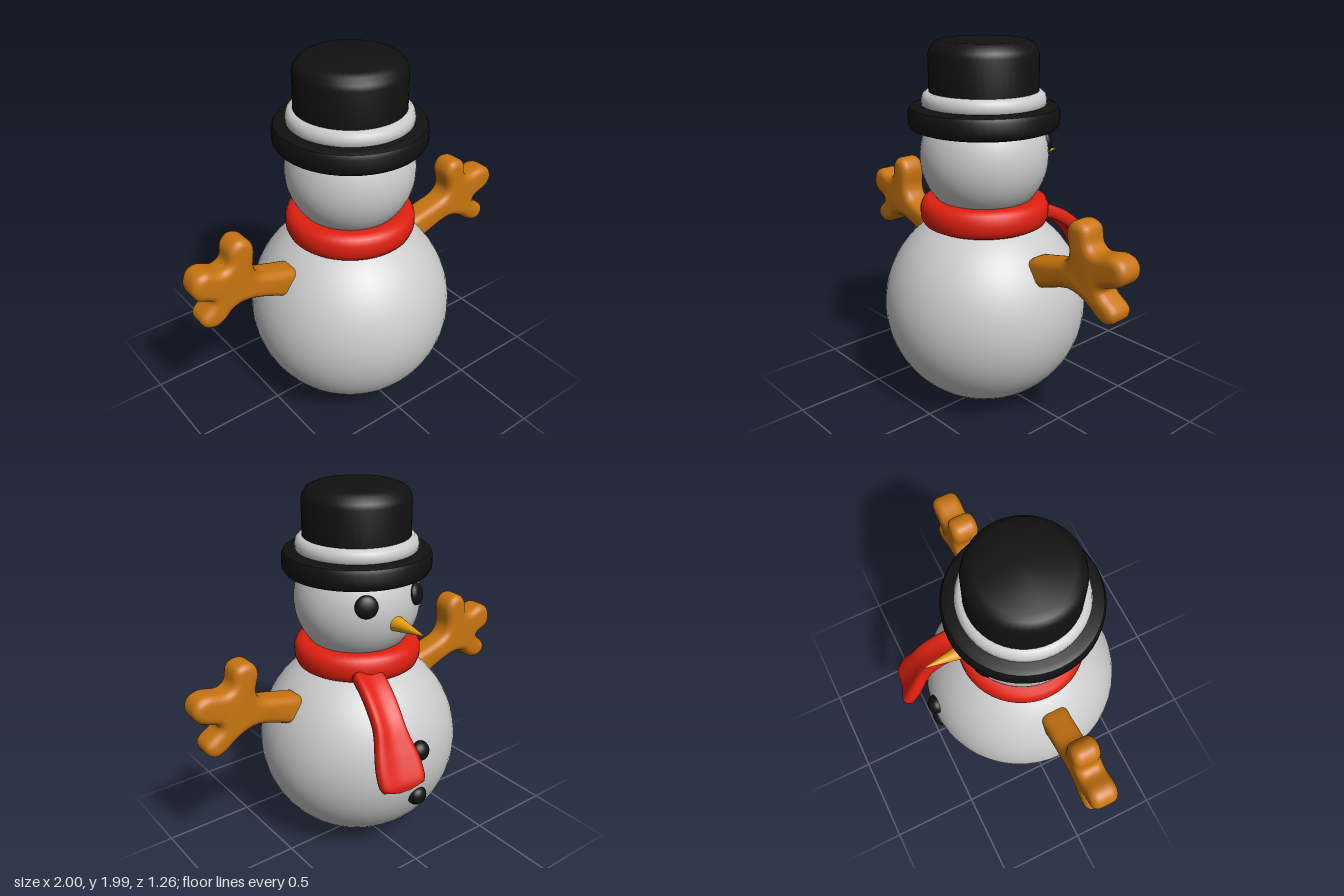
import * as THREE from 'three';
import { toCreasedNormals } from 'three/addons/utils/BufferGeometryUtils.js';

const CX = -0.025, CZ = 0.07; // vertical axis of the figure

const mat = (color) => new THREE.MeshStandardMaterial({ color });
const snow = mat(0xcccccc), black = mat(0x111111), red = mat(0xe02010);
const wood = mat(0xc87510), carrot = mat(0xe8a010);

function add(group, name, geometry, material, x = CX, y = 0, z = CZ) {
  const mesh = new THREE.Mesh(geometry, material);
  mesh.name = name;
  mesh.position.set(x, y, z);
  group.add(mesh);
  return mesh;
}

function lathe(profile, crease) {
  const g = new THREE.LatheGeometry(profile.map(([r, y]) => new THREE.Vector2(r, y)), 48);
  return crease ? toCreasedNormals(g, crease) : g;
}

// Three-fingered arm: smooth outline, extruded with a rounded edge
function armGeometry(outline) {
  const curve = new THREE.CatmullRomCurve3(
    outline.map(([x, y]) => new THREE.Vector3(x, y, 0)), true, 'centripetal');
  const pts = curve.getPoints(90).slice(0, -1).map((p) => new THREE.Vector2(p.x, p.y));
  const bevel = 0.042, thick = 0.152;
  const g = new THREE.ExtrudeGeometry(new THREE.Shape(pts), {
    depth: thick - 2 * bevel, bevelEnabled: true, bevelThickness: bevel,
    bevelSize: bevel, bevelOffset: -bevel, bevelSegments: 5,
  });
  g.translate(0, 0, bevel - thick / 2);
  return toCreasedNormals(g, 0.9);
}

// Scarf tail: a ribbon with puffy edges and a groove, lofted along a curve
function tailGeometry() {
  const path = new THREE.CatmullRomCurve3([
    new THREE.Vector3(0.12, 1.08, -0.19), new THREE.Vector3(0.145, 1.02, -0.31),
    new THREE.Vector3(0.165, 0.92, -0.42), new THREE.Vector3(0.175, 0.77, -0.505),
    new THREE.Vector3(0.18, 0.58, -0.595),
  ]);
  const steps = 28, sides = 32, pos = [], idx = [];
  for (let i = 0; i <= steps; i++) {
    const t = i / steps;
    const c = path.getPointAt(t), T = path.getTangentAt(t);
    const S = new THREE.Vector3(1, 0, 0.3 * t);
    S.addScaledVector(T, -S.dot(T)).normalize();
    const N = T.clone().cross(S);
    // flares toward the end, then closes in a blunt round tip
    const tip = t > 0.86 ? Math.sqrt(Math.max(0, 1 - ((t - 0.86) / 0.14) ** 4)) : 1;
    const w = (0.085 + 0.042 * THREE.MathUtils.smoothstep(t, 0.45, 0.85)) * (0.4 + 0.6 * tip);
    const start = i === 0 ? 0 : 1;
    const h = 0.056 * tip * start;
    for (let j = 0; j < sides; j++) {
      const a = (j / sides) * Math.PI * 2, cs = Math.cos(a);
      const p = c.clone().addScaledVector(S, cs * w * start * (i === steps ? 0.6 : 1))
        .addScaledVector(N, Math.sin(a) * h * (0.4 + 1.0 * cs * cs));
      pos.push(p.x, p.y, p.z);
      if (i < steps) {
        const k = i * sides + j, n = i * sides + (j + 1) % sides;
        idx.push(k, n, k + sides, n, n + sides, k + sides);
      }
    }
  }
  const g = new THREE.BufferGeometry();
  g.setAttribute('position', new THREE.Float32BufferAttribute(pos, 3));
  g.setIndex(idx);
  g.computeVertexNormals();
  return g;
}

export function createModel() {
  const group = new THREE.Group();
  group.name = 'snowman';

  // Snowballs
  add(group, 'body', new THREE.SphereGeometry(0.555, 48, 32), snow, CX, 0.56);
  add(group, 'head', new THREE.SphereGeometry(0.34, 48, 32), snow, CX, 1.39);

  // Hat: brim, band and crown
  add(group, 'hatBrim', lathe([[0, 1.54], [0.36, 1.54], [0.382, 1.548], [0.395, 1.57],
    [0.395, 1.635], [0.385, 1.655], [0.36, 1.665], [0, 1.665]], 0.7), black);
  add(group, 'hatBand', lathe([[0.3, 1.64], [0.322, 1.66], [0.325, 1.69], [0.318, 1.715],
    [0.3, 1.732], [0.27, 1.735], [0, 1.735]]), snow);
  add(group, 'hatCrown', lathe([[0, 1.7], [0.285, 1.7], [0.285, 1.92], [0.278, 1.945],
    [0.255, 1.975], [0.225, 1.988], [0, 1.99]], 0.7), black);

  // Scarf ring and hanging tail
  add(group, 'scarfRing', lathe([[0.2, 1.04], [0.24, 1.02], [0.3, 1.02], [0.33, 1.035],
    [0.343, 1.065], [0.345, 1.095], [0.343, 1.125], [0.33, 1.155], [0.3, 1.17],
    [0.24, 1.17], [0.2, 1.15]]), red);
  add(group, 'scarfTail', tailGeometry(), red, 0, 0, 0).material.side = THREE.DoubleSide;

  // Arms
  add(group, 'leftArm', armGeometry([[0.37, 0.92], [0.5, 0.963], [0.62, 0.997], [0.65, 1.045],
    [0.63, 1.15], [0.66, 1.205], [0.71, 1.215], [0.76, 1.19], [0.78, 1.11], [0.82, 1.085],
    [0.92, 1.1], [0.98, 1.075], [1, 1.02], [0.97, 0.965], [0.87, 0.92], [0.87, 0.895],
    [0.95, 0.83], [0.945, 0.78], [0.9, 0.75], [0.84, 0.77], [0.77, 0.82], [0.66, 0.855],
    [0.47, 0.8], [0.39, 0.78]]), wood, 0);
  add(group, 'rightArm', armGeometry([[-0.39, 0.925], [-0.52, 0.975], [-0.63, 1.015],
    [-0.66, 1.07], [-0.655, 1.19], [-0.69, 1.24], [-0.74, 1.25], [-0.785, 1.21], [-0.8, 1.135],
    [-0.84, 1.115], [-0.92, 1.145], [-0.975, 1.125], [-1, 1.06], [-0.98, 1.005],
    [-0.905, 0.965], [-0.91, 0.945], [-0.97, 0.88], [-0.955, 0.83], [-0.9, 0.81],
    [-0.845, 0.83], [-0.785, 0.88], [-0.69, 0.885], [-0.46, 0.795], [-0.4, 0.775]]), wood, 0);

  // Carrot nose
  const cone = new THREE.ConeGeometry(0.052, 0.28, 24);
  cone.rotateX(-Math.PI / 2);
  add(group, 'nose', cone, carrot, CX, 1.337, -0.345);

  // Eyes and buttons: flattened pebbles set along the snowball's surface
  const pebble = (name, r, depth, cy, radius, dx, dy) => {
    const g = new THREE.SphereGeometry(r, 24, 16);
    g.scale(1, 1, depth / r);
    const dir = new THREE.Vector3(dx, dy, -Math.sqrt(radius ** 2 - dx ** 2 - dy ** 2));
    const m = add(group, name, g, black, CX + dir.x, cy + dir.y, CZ + dir.z);
    m.quaternion.setFromUnitVectors(new THREE.Vector3(0, 0, -1), dir.normalize());
  };
  pebble('leftEye', 0.06, 0.03, 1.39, 0.34, 0.163, 0.06);
  pebble('rightEye', 0.06, 0.03, 1.39, 0.34, -0.163, 0.06);
  pebble('upperButton', 0.055, 0.045, 0.56, 0.555, 0, 0.125);
  pebble('lowerButton', 0.055, 0.045, 0.56, 0.555, 0, -0.16);

  return group;
}
